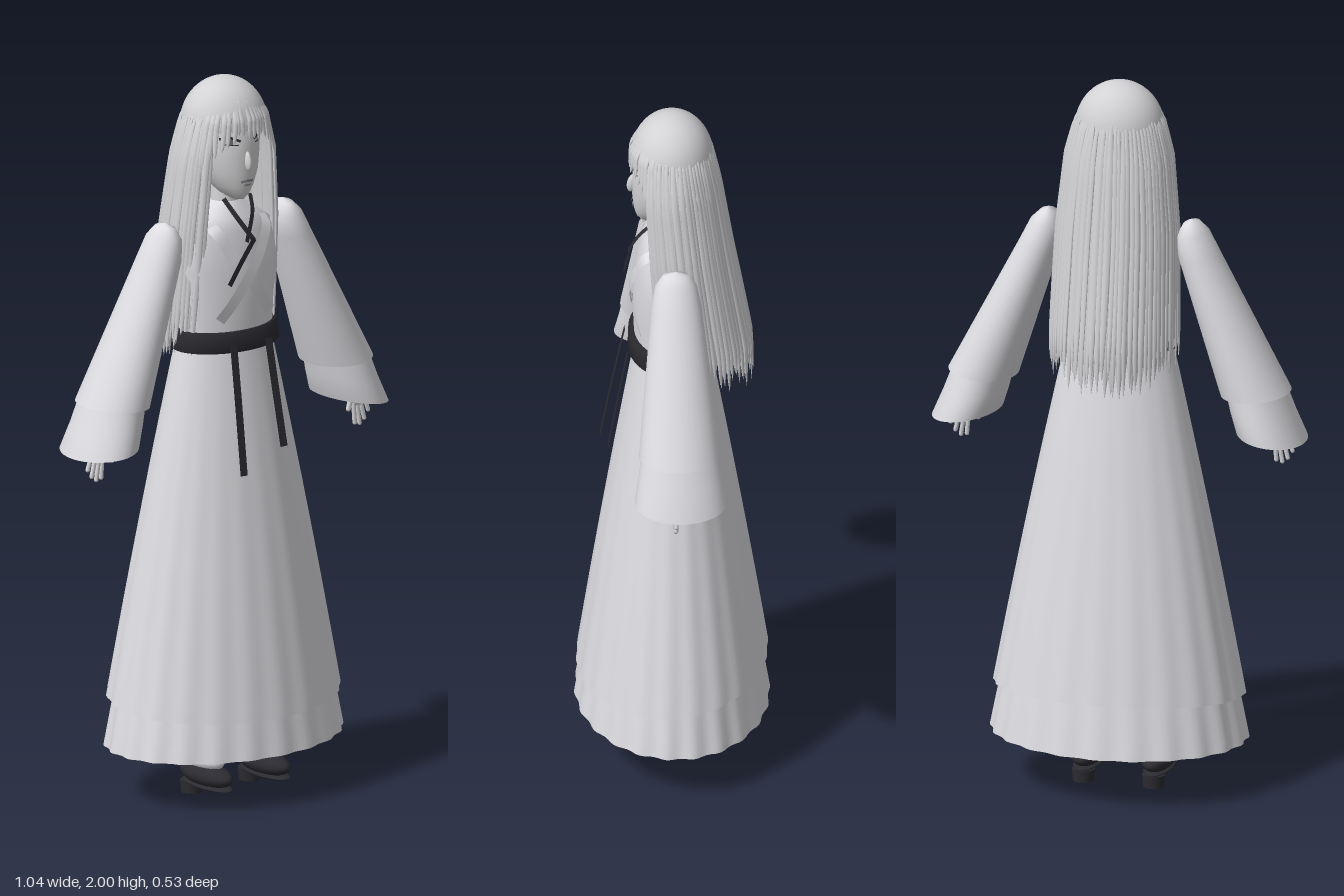
import * as THREE from 'three';
import { mergeGeometries } from 'three/addons/utils/BufferGeometryUtils.js';

const TAU = Math.PI * 2;
const mat = (name, color) => {
  const m = new THREE.MeshStandardMaterial({ color, side: THREE.DoubleSide });
  m.name = name;
  return m;
};

// Surface through rows of points; f(i, j) gives [x, y, z], closed surfaces wrap round
function grid(rows, cols, closed, f) {
  const pos = [], idx = [];
  for (let i = 0; i < rows; i++) for (let j = 0; j < cols; j++) pos.push(...f(i, j));
  for (let i = 0; i < rows - 1; i++) {
    for (let j = 0; j < (closed ? cols : cols - 1); j++) {
      const k = (j + 1) % cols, a = i * cols + j, b = i * cols + k;
      idx.push(a, a + cols, b, b, a + cols, b + cols);
    }
  }
  const g = new THREE.BufferGeometry();
  g.setAttribute('position', new THREE.Float32BufferAttribute(pos, 3));
  g.setIndex(idx);
  g.computeVertexNormals();
  return g;
}

// Tables run from top to bottom: [y, half width, front z, back z]
const ringPoint = ([y, rx, zf, zb], a) => [rx * Math.sin(a), y, (zf + zb) / 2 + (zf - zb) / 2 * Math.cos(a)];
const loft = (table, n = 40) => grid(table.length, n, true, (i, j) => ringPoint(table[i], j / n * TAU));
function rowAt(table, y) {
  let i = 0;
  while (i < table.length - 2 && y < table[i + 1][0]) i++;
  const p = table[i], q = table[i + 1];
  const t = THREE.MathUtils.clamp((p[0] - y) / (p[0] - q[0]), 0, 1);
  return p.map((v, k) => k ? v + (q[k] - v) * t : y);
}
function frontZ(table, x, y) {
  const [, rx, zf, zb] = rowAt(table, y);
  return (zf + zb) / 2 + (zf - zb) / 2 * Math.sqrt(Math.max(0, 1 - (x / rx) ** 2));
}

// Flat strip along points [x, y, z]
function strip(points, width, steps = 12) {
  const curve = new THREE.CatmullRomCurve3(points.map(p => new THREE.Vector3(...p)));
  return grid(steps + 1, 2, false, (i, j) => {
    const p = curve.getPoint(i / steps), t = curve.getTangent(i / steps);
    const l = Math.hypot(t.x, t.y) || 1, w = (j - 0.5) * width;
    return [p.x - t.y / l * w, p.y + t.x / l * w, p.z];
  });
}
const stripOn = (table, pts, width, lift) => {
  const out = [];
  for (let i = 0; i < pts.length - 1; i++) for (let k = i ? 1 : 0; k <= 4; k++) {
    const x = pts[i][0] + (pts[i + 1][0] - pts[i][0]) * k / 4, y = pts[i][1] + (pts[i + 1][1] - pts[i][1]) * k / 4;
    out.push([x, y, frontZ(table, x, y) + lift]);
  }
  return strip(out, width, 16);
};

const HEAD = [[1.985, 0, 0.01, 0.01], [1.965, 0.045, 0.05, -0.05], [1.92, 0.08, 0.085, -0.085],
  [1.86, 0.09, 0.104, -0.095], [1.80, 0.088, 0.108, -0.09], [1.75, 0.077, 0.108, -0.07], [1.71, 0.056, 0.104, -0.04],
  [1.685, 0.034, 0.097, -0.01], [1.672, 0.016, 0.085, 0.03], [1.669, 0, 0.06, 0.06]];
const TORSO = [[1.66, 0.045, 0.05, -0.05], [1.62, 0.10, 0.075, -0.06], [1.58, 0.155, 0.09, -0.07],
  [1.48, 0.16, 0.104, -0.08], [1.38, 0.145, 0.106, -0.085], [1.24, 0.142, 0.10, -0.09]];
const HAIR = [[1.985, 0.035, 0.035, -0.035], [1.95, 0.085, 0.085, -0.085], [1.90, 0.12, 0.112, -0.108],
  [1.80, 0.145, 0.122, -0.128], [1.60, 0.165, 0.118, -0.16], [1.30, 0.175, 0.105, -0.215], [1.18, 0.176, 0.10, -0.22]];
// Sleeve rings: inner x, y, outer x, y, half depth
const SLEEVE = [[0.2, 1.622, 0.2, 1.622, 0], [0.178, 1.61, 0.222, 1.615, 0.035], [0.16, 1.575, 0.248, 1.59, 0.056],
  [0.165, 1.52, 0.278, 1.53, 0.068], [0.285, 1.14, 0.475, 1.152, 0.112], [0.292, 1.142, 0.465, 1.152, 0.103]];
const CUFF = [[0.298, 1.16, 0.46, 1.165, 0.104], [0.312, 1.1, 0.488, 1.09, 0.114], [0.33, 1.042, 0.52, 1.015, 0.126],
  [0.336, 1.044, 0.513, 1.02, 0.12], [0.305, 1.16, 0.452, 1.17, 0.096]];

export function createModel() {
  const root = new THREE.Group();
  const cloth = mat('pale cloth', 0xdcdce1), skin = mat('pale skin', 0xd4d3d5), hair = mat('silver hair', 0xd2d2d5);
  const dark = mat('black cloth', 0x2b2b31), lip = mat('grey lips', 0x85858a);
  const add = (name, geo, m, parent = root) => {
    const mesh = new THREE.Mesh(geo, m);
    mesh.name = name;
    parent.add(mesh);
    return mesh;
  };
  let seed = 7;
  const rnd = () => (seed = (seed * 16807) % 2147483647) / 2147483647;

  // Skirts with soft pleats; the upper hem dips toward the front
  const skirt = (y0, y1, r0, r1, d0, d1, amp, dip) => grid(25, 132, true, (i, j) => {
    const t = i / 24, a = j / 132 * TAU, k = 1 + amp * t * Math.cos(22 * a);
    const swell = t + 0.1 * t * (1 - t);
    return [(r0 + (r1 - r0) * swell) * k * Math.sin(a), y0 + (y1 - y0) * t - dip * t * Math.cos(a),
      (d0 + (d1 - d0) * swell) * k * Math.cos(a)];
  });
  add('overskirt', skirt(1.27, 0.275, 0.145, 0.345, 0.1, 0.258, 0.008, 0.024), cloth);
  add('underskirt', skirt(0.6, 0.147, 0.26, 0.352, 0.185, 0.262, 0.013, 0), cloth);

  // Torso, belt and neck
  add('torso', loft(TORSO), cloth);
  add('belt', loft([[1.31, 0.14, 0.1, -0.085], [1.312, 0.158, 0.118, -0.1], [1.255, 0.162, 0.12, -0.105], [1.252, 0.14, 0.1, -0.09]]), dark);
  add('neck', new THREE.CylinderGeometry(0.036, 0.042, 0.13, 24), skin).position.set(0, 1.67, 0.005);

  // Crossed collar, neck cord and hanging sash ends
  add('collarUnder', stripOn(TORSO, [[-0.1, 1.62], [-0.045, 1.52], [0.09, 1.345]], 0.034, 0.006), cloth);
  add('collarOver', stripOn(TORSO, [[0.1, 1.62], [0.045, 1.52], [-0.085, 1.345]], 0.034, 0.01), cloth);
  add('cordRight', strip([[-0.045, 1.675, 0.06], [-0.03, 1.635, 0.09], [0.015, 1.56, 0.118]], 0.014), dark);
  add('cordLeft', strip([[0.045, 1.675, 0.06], [0.03, 1.635, 0.09], [-0.01, 1.56, 0.118]], 0.014), dark);
  add('cordEnd', strip([[0.015, 1.565, 0.118], [-0.03, 1.51, 0.122], [-0.075, 1.45, 0.126]], 0.016), dark);
  add('sashEndRight', strip([[-0.06, 1.28, 0.124], [-0.066, 1.15, 0.15], [-0.075, 0.93, 0.19]], 0.024), dark);
  add('sashEndLeft', strip([[0.058, 1.28, 0.124], [0.063, 1.15, 0.148], [0.07, 0.985, 0.178]], 0.024), dark);

  // Head and face
  add('head', loft(HEAD, 48), skin);
  const nose = add('nose', new THREE.SphereGeometry(1, 16, 12), skin);
  nose.scale.set(0.009, 0.028, 0.014);
  nose.position.set(0, 1.785, 0.108);
  nose.rotation.x = -0.2;
  add('mouth', stripOn(HEAD, [[-0.02, 1.727], [0, 1.729], [0.02, 1.727]], 0.007, 0.003), lip);
  add('lowerLip', stripOn(HEAD, [[-0.01, 1.717], [0.01, 1.717]], 0.005, 0.003), lip);
  for (const s of [1, -1]) {
    const side = s > 0 ? 'left' : 'right';
    const line = pts => pts.map(([x, y]) => [x * s, y]);
    add(side + 'Lash', stripOn(HEAD, line([[0.022, 1.843], [0.045, 1.853], [0.07, 1.85]]), 0.007, 0.004), dark);
    add(side + 'LowerLid', stripOn(HEAD, line([[0.028, 1.833], [0.064, 1.835]]), 0.003, 0.004), dark);
    add(side + 'Iris', stripOn(HEAD, line([[0.045, 1.85], [0.045, 1.834]]), 0.012, 0.003), lip);
    add(side + 'Brow', stripOn(HEAD, line([[0.02, 1.868], [0.072, 1.877]]), 0.004, 0.004), dark);

    // Sleeve, cuff and hand
    const arm = new THREE.Group();
    arm.name = side + 'Arm';
    root.add(arm);
    const tube = table => grid(table.length, 36, true, (i, j) => {
      const [ix, iy, ox, oy, rz] = table[i], a = j / 36 * TAU * s, c = Math.sin(a) * s;
      const h = (1 + c * 1) / 2;
      return [s * (ix + (ox - ix) * h), iy + (oy - iy) * h, 0.003 + rz * Math.cos(a)];
    });
    add('sleeve', tube(SLEEVE), cloth, arm);
    add('cuff', tube(CUFF), cloth, arm);
    const limb = (name, p, q, r0, r1, m, parent) => {
      const a = new THREE.Vector3(...p), b = new THREE.Vector3(...q), d = b.clone().sub(a);
      const mesh = add(name, new THREE.CylinderGeometry(r0, r1, d.length(), 14), m, parent);
      mesh.position.copy(a).add(b).multiplyScalar(0.5);
      mesh.quaternion.setFromUnitVectors(new THREE.Vector3(0, 1, 0), d.normalize());
    };
    limb('forearm', [s * 0.425, 1.06, 0.015], [s * 0.33, 1.28, 0], 0.026, 0.019, skin, arm);
    const palm = add('palm', new THREE.SphereGeometry(1, 18, 14), skin, arm);
    palm.scale.set(0.029, 0.04, 0.014);
    palm.position.set(s * 0.438, 1.033, 0.018);
    palm.rotation.z = s * 0.3;
    for (let i = 0; i < 4; i++) {
      const x = 0.422 + i * 0.0135, len = [0.055, 0.065, 0.06, 0.045][i];
      const f = add('finger', new THREE.CapsuleGeometry(0.0062, len, 4, 8), skin, arm);
      f.position.set(s * (x + 0.008), 1.005 - len / 2 + i * 0.006, 0.02);
      f.rotation.z = s * (0.08 + i * 0.08);
    }
    const thumb = add('thumb', new THREE.CapsuleGeometry(0.007, 0.04, 4, 8), skin, arm);
    thumb.position.set(s * 0.408, 1.015, 0.03);
    thumb.rotation.z = -s * 0.25;

    // Leg, sock and raised shoe
    const foot = new THREE.Group();
    foot.name = side + 'Foot';
    foot.position.x = s * 0.098;
    root.add(foot);
    limb('leg', [0, 0.1, -0.005], [0, 0.9, -0.005], 0.045, 0.03, skin, foot);
    const blob = (name, m, sx, sy, sz, y, z) => {
      const b = add(name, new THREE.SphereGeometry(1, 24, 16), m, foot);
      b.scale.set(sx, sy, sz);
      b.position.set(0, y, z);
    };
    blob('sock', cloth, 0.036, 0.034, 0.09, 0.108, 0.033);
    blob('shoe', dark, 0.044, 0.032, 0.104, 0.064, 0.053);
    blob('sole', dark, 0.04, 0.01, 0.1, 0.036, 0.057);
    add('heel', new THREE.CylinderGeometry(0.032, 0.029, 0.034, 20), dark, foot).position.set(0, 0.017, -0.012);
  }

  // Hair cap
  const cap = add('hairCap', new THREE.SphereGeometry(1, 40, 16, 0, TAU, 0, Math.PI / 2), hair);
  cap.scale.set(0.122, 0.13, 0.112);
  cap.position.y = 1.87;

  // One tapered lock hanging along the hair outline at angle a
  const lock = (a, y0, y1, w, inset, sway) => grid(19, 7, true, (i, j) => {
    const t = i / 18, b = j / 7 * TAU, y = y0 + (y1 - y0) * t;
    const ang = a + sway * Math.sin(t * 3) * 0.5;
    const p = ringPoint(rowAt(HAIR, y), ang);
    const taper = w * Math.min(1, 0.35 + t * 3) * Math.sqrt(Math.max(0.004, 1 - t ** 5));
    const u = taper * Math.sin(b), v = taper * 0.5 * Math.cos(b);
    return [p[0] * inset + Math.cos(ang) * u + Math.sin(ang) * v, y, p[2] * inset - Math.sin(ang) * u + Math.cos(ang) * v];
  });
  const locks = [];
  const fill = (n, inset, w) => {
    for (let i = 0; i < n; i++) {
      const a = 0.92 + (TAU - 1.84) * (i + 0.3 * rnd()) / (n - 0.7);
      const back = Math.max(0, -Math.cos(a));
      locks.push(lock(a, 1.97 - 0.05 * rnd(), 1.29 - 0.07 * back - 0.06 * rnd(), w * (0.8 + 0.4 * rnd()), inset, (rnd() - 0.5) * 0.12));
    }
  };
  fill(52, 1, 0.0105);
  fill(40, 0.93, 0.014);
  add('longHair', mergeGeometries(locks), hair);

  // Fringe, longer toward the temples
  const fringe = [];
  for (let i = 0; i < 17; i++) {
    const a = -0.98 + 1.96 * i / 16, edge = Math.abs(a) / 0.98;
    fringe.push(lock(a, 1.985, 1.865 - 0.09 * edge ** 3 - 0.03 * rnd(), 0.0085, 1, (rnd() - 0.5) * 0.25));
  }
  add('fringe', mergeGeometries(fringe), hair);
  return root;
}
